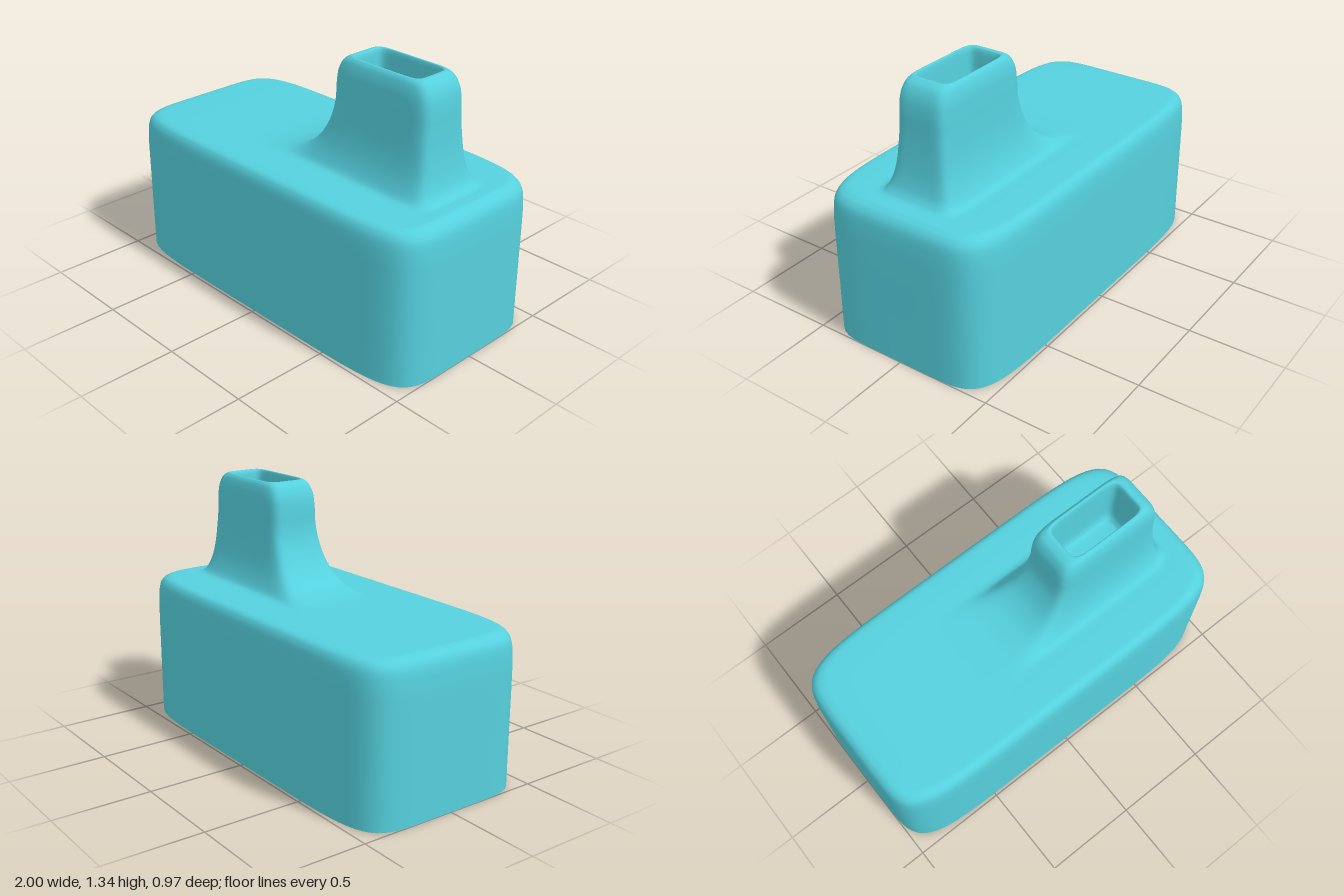
import * as THREE from 'three';

const SIDE = 24; // points along each side of a cross-section

// Rounded-rectangle ring (superellipse) between x0 and x1, half depth hz, squareness n
function ring(y, x0, x1, hz, n) {
  const pts = [];
  const corners = [[1, -1], [1, 1], [-1, 1], [-1, -1]];
  corners.forEach(([ax, az], k) => {
    const [bx, bz] = corners[(k + 1) % 4];
    for (let i = 0; i < SIDE; i++) {
      const s = (1 - Math.cos(Math.PI * (0.15 + 0.7 * i / SIDE))) / 2; 
      const t = 0.5 * (i / SIDE) + 0.5 * (s - 0.0545) / 0.891;
      const u = ax + (bx - ax) * t, v = az + (bz - az) * t;
      const r = Math.pow(Math.abs(u) ** n + Math.abs(v) ** n, -1 / n);
      pts.push((x0 + x1) / 2 + u * r * (x1 - x0) / 2, y, v * r * hz);
    }
  });
  return pts;
}

// Smooth skin through rows of [y, x0, x1, halfDepth, squareness]
function loft(rows, steps) {
  const columns = rows[0].map((_, c) =>
    new THREE.SplineCurve(rows.map((row, i) => new THREE.Vector2(i, row[c]))));
  const count = (rows.length - 1) * steps, around = SIDE * 4;
  const position = [], index = [];
  for (let i = 0; i <= count; i++) {
    position.push(...ring(...columns.map((c) => c.getPoint(i / count).y)));
    if (i === count) break;
    for (let j = 0; j < around; j++) {
      const a = i * around + j, b = i * around + (j + 1) % around;
      index.push(a, a + around, b, b, a + around, b + around);
    }
  }
  const geometry = new THREE.BufferGeometry();
  geometry.setAttribute('position', new THREE.Float32BufferAttribute(position, 3));
  geometry.setIndex(index);
  geometry.computeVertexNormals();
  return geometry;
}

export function createModel() {
  const model = new THREE.Group();
  const material = new THREE.MeshStandardMaterial({ color: 0x55d0dd, side: THREE.DoubleSide });
  const add = (name, rows, steps) => {
    const mesh = new THREE.Mesh(loft(rows, steps), material);
    mesh.name = name;
    model.add(mesh);
  };

  // Hollow body, open underneath, with a softly rounded top edge
  add('body', [
    [0, -1, 1, 0.485, 6.8],
    [0.3, -1, 1, 0.485, 6.8],
    [0.55, -1, 1, 0.485, 6.8],
    [0.66, -0.998, 0.998, 0.484, 6.8],
    [0.73, -0.99, 0.99, 0.478, 6.8],
    [0.765, -0.97, 0.97, 0.465, 6.8],
    [0.781, -0.94, 0.945, 0.447, 6.8],
    [0.786, -0.89, 0.93, 0.42, 6.8],
    [0.787, -0.7, 0.91, 0.36, 7],
    [0.787, -0.3, 0.885, 0.26, 8],
  ], 5);

  // Flared spout, rolled over its rim into a closed recess
  add('spout', [
    [0.787, -0.3, 0.885, 0.26, 8],
    [0.789, -0.2, 0.868, 0.235, 8],
    [0.8, -0.09, 0.85, 0.213, 8],
    [0.832, 0.01, 0.828, 0.193, 8],
    [0.89, 0.09, 0.811, 0.172, 8],
    [0.96, 0.143, 0.8, 0.157, 8],
    [1.04, 0.18, 0.792, 0.148, 8],
    [1.12, 0.196, 0.788, 0.144, 7],
    [1.2, 0.2, 0.786, 0.142, 7],
    [1.27, 0.21, 0.776, 0.138, 7],
    [1.318, 0.233, 0.753, 0.127, 7],
    [1.338, 0.26, 0.727, 0.115, 7],
    [1.343, 0.28, 0.708, 0.105, 7],
    [1.335, 0.291, 0.695, 0.099, 7],
    [1.3, 0.297, 0.689, 0.095, 7],
    [1.2, 0.3, 0.686, 0.093, 7],
    [1.08, 0.302, 0.684, 0.091, 7],
    [1.03, 0.315, 0.671, 0.083, 6],
    [1.01, 0.35, 0.636, 0.065, 5],
    [1.005, 0.492, 0.494, 0.001, 4],
  ], 5);

  return model;
}
